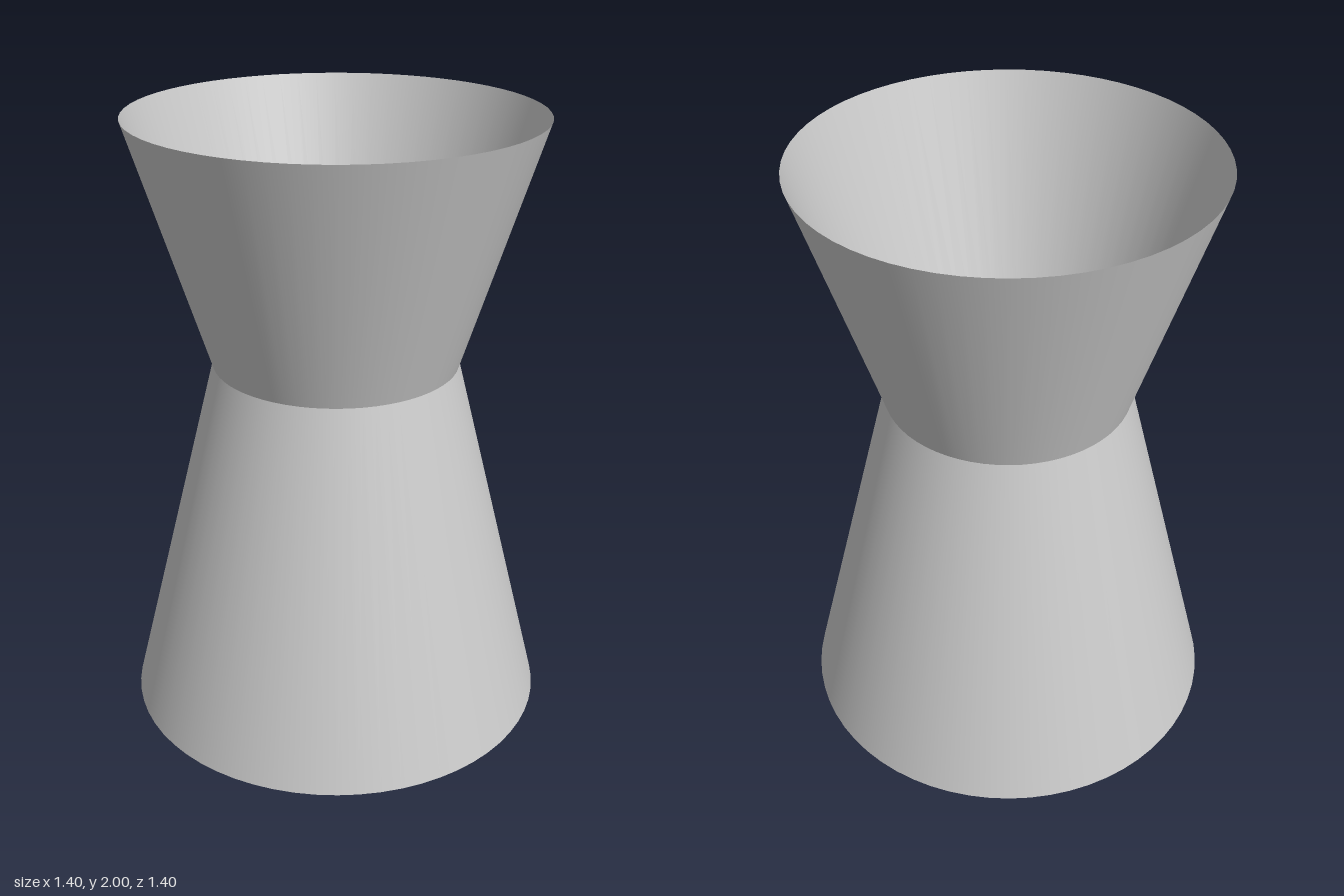
import * as THREE from 'three';

const SEGMENTS = 64;

export function createModel() {
  const group = new THREE.Group();
  group.name = 'hourglassStand';
  const material = new THREE.MeshStandardMaterial({ color: 0xcccccc, side: THREE.DoubleSide });

  // Open, thin-walled truncated cone between two heights
  function addCone(name, bottomRadius, topRadius, y0, y1) {
    const geometry = new THREE.CylinderGeometry(topRadius, bottomRadius, y1 - y0, SEGMENTS, 1, true);
    const mesh = new THREE.Mesh(geometry, material);
    mesh.name = name;
    mesh.position.y = (y0 + y1) / 2;
    group.add(mesh);
  }

  // Separate cones keep the waist crease sharp
  addCone('lowerCone', 0.7, 0.4, 0, 1.2);
  addCone('upperCone', 0.4, 0.65, 1.2, 2);

  return group;
}
